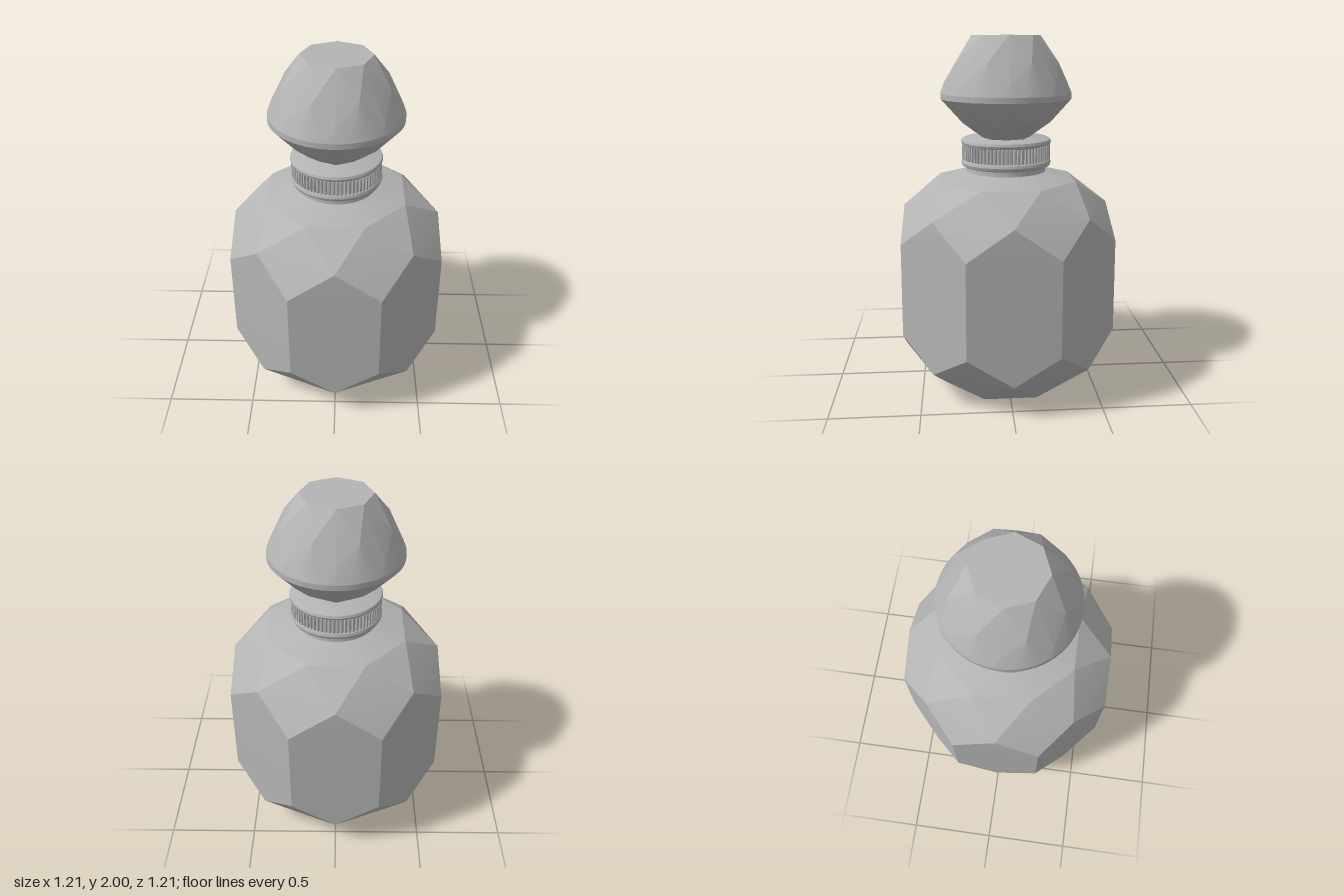
import * as THREE from 'three';
import { toCreasedNormals } from 'three/addons/utils/BufferGeometryUtils.js';
import { ConvexGeometry } from 'three/addons/geometries/ConvexGeometry.js';

// Ring of points around the y axis; turn is a fraction of one step
function ring(radius, y, count = 8, turn = 0) {
  return Array.from({ length: count }, (_, i) => {
    const a = ((i + turn) / count) * Math.PI * 2;
    return new THREE.Vector3(Math.sin(a) * radius, y, Math.cos(a) * radius);
  });
}

// Faceted solid spanning a stack of rings; very shallow folds are softened
function facetedSolid(rings, crease) {
  return toCreasedNormals(new ConvexGeometry(rings.flat()), crease);
}

export function createModel() {
  const group = new THREE.Group();
  const grey = new THREE.MeshStandardMaterial({ color: 0xb4b4b4 });
  grey.name = 'plain grey';

  const add = (name, geometry) => {
    const mesh = new THREE.Mesh(geometry, grey);
    mesh.name = name;
    group.add(mesh);
    return mesh;
  };

  // Bottle body: eight hexagonal sides, cut shoulder and cut base
  add('body', facetedSolid([
    ring(0.39, 0, 8, 0.5),
    ring(0.605, 0.2),
    ring(0.651, 0.36, 8, 0.5),
    ring(0.644, 0.89, 8, 0.5),
    ring(0.585, 1.06),
    ring(0.41, 1.21, 8, 0.5),
    ring(0.23, 1.254, 32),
  ], 0.2));

  // Short neck and the two rounded collar bands
  const lathe = (points) => toCreasedNormals(
    new THREE.LatheGeometry(points.map(([r, y]) => new THREE.Vector2(r, y)), 64), 0.6);
  add('neck', lathe([[0.23, 1.24], [0.225, 1.26], [0.225, 1.3]]));
  const band = (name, y, h) => add(name, lathe([
    [0, y], [0.238, y], [0.25, y + h * 0.15], [0.255, y + h * 0.5],
    [0.25, y + h * 0.85], [0.238, y + h], [0, y + h],
  ]));
  band('lowerCollarBand', 1.283, 0.042);
  band('upperCollarBand', 1.403, 0.038);

  // Ribbed grip between the bands
  const ribs = 72;
  const outline = new THREE.Shape();
  for (let i = 0; i < ribs; i++) {
    [[0, 0.24], [0.2, 0.25], [0.6, 0.25], [0.8, 0.24]].forEach(([t, r], k) => {
      const a = ((i + t) / ribs) * Math.PI * 2;
      const x = Math.cos(a) * r, y = Math.sin(a) * r;
      if (i + k === 0) outline.moveTo(x, y);
      else outline.lineTo(x, y);
    });
  }
  outline.closePath();
  const grip = new THREE.ExtrudeGeometry(outline, { depth: 0.082, bevelEnabled: false });
  grip.rotateX(-Math.PI / 2);
  grip.translate(0, 1.323, 0);
  add('collarGrip', grip);

  // Gem-cut stopper with a round girdle
  add('stopper', facetedSolid([
    ring(0.13, 1.44),
    ring(0.25, 1.53, 16, 0.5),
    ring(0.365, 1.66, 64),
    ring(0.365, 1.69, 64),
    ring(0.343, 1.75),
    ring(0.297, 1.86, 8, 0.5),
    ring(0.19, 2),
  ], 0.2));

  return group;
}
